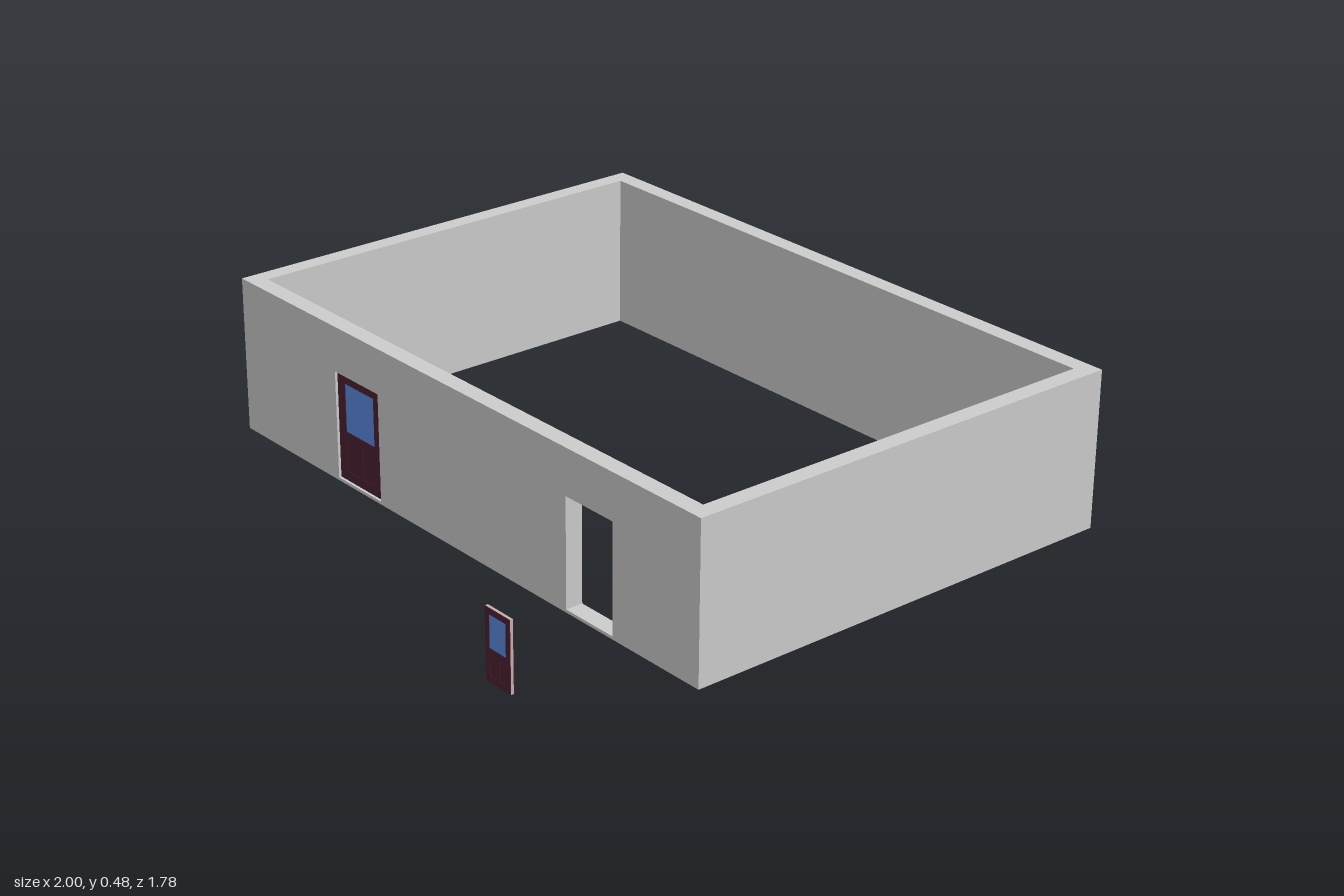
import * as THREE from 'three';

const paint = (color) => new THREE.MeshStandardMaterial({ color, flatShading: true });

function addBox(parent, name, mat, w, h, d, x, y, z) {
  const mesh = new THREE.Mesh(new THREE.BoxGeometry(w, h, d), mat);
  mesh.name = name;
  mesh.position.set(x, y, z);
  parent.add(mesh);
  return mesh;
}

// Rectangle outline from its left, bottom, right and top
function rect(l, b, r, t, Type = THREE.Path) {
  const p = new Type();
  p.moveTo(l, b).lineTo(r, b).lineTo(r, t).lineTo(l, t).closePath();
  return p;
}

// Rectangle with rectangular holes, extruded from z to z + depth
function addPanel(parent, name, mat, outline, holes, depth, z) {
  const shape = rect(...outline, THREE.Shape);
  shape.holes = holes.map((h) => rect(...h));
  const mesh = new THREE.Mesh(new THREE.ExtrudeGeometry(shape, { depth, bevelEnabled: false }), mat);
  mesh.name = name;
  mesh.position.z = z;
  parent.add(mesh);
}

// Door leaf standing on y = 0: pale core, dark facings, glazing above two panels
function makeDoor(name, w, h, d, mats) {
  const door = new THREE.Group();
  door.name = name;
  const skin = d * 0.15;
  const glass = [-0.33 * w, 0.465 * h, 0.33 * w, 0.915 * h];
  const panels = [-1, 1].map((s) => [(s * 0.185 - 0.14) * w, 0.09 * h, (s * 0.185 + 0.14) * w, 0.4 * h]);
  addBox(door, 'doorCore', mats.core, w, h, d - 2 * skin, 0, h / 2, 0);
  for (const z of [d / 2 - skin, -d / 2]) {
    addPanel(door, 'doorFacing', mats.wood, [-w / 2, 0, w / 2, h], [glass, ...panels], skin, z);
  }
  const inset = (part, mat, [l, b, r, t], depth) =>
    addBox(door, part, mat, r - l, t - b, depth, (l + r) / 2, (b + t) / 2, 0);
  inset('doorGlass', mats.glass, glass, d * 0.85);
  panels.forEach((p) => inset('doorPanel', mats.wood, p, d * 0.8));
  return door;
}

export function createModel() {
  const model = new THREE.Group();
  model.name = 'walledRoom';
  const grey = paint(0xcccccc);
  const mats = { core: paint(0xc4b0ae), wood: paint(0x4a2030), glass: paint(0x5b8ae0) };

  const bottom = 0.007, top = 0.476, height = top - bottom, midY = (top + bottom) / 2;
  const front = 0.52, back = -0.89, t = 0.053;

  // Walls
  const walls = new THREE.Group();
  walls.name = 'walls';
  model.add(walls);
  const openings = [[-0.543, 0.016, -0.34, 0.34], [0.48, 0.016, 0.668, 0.34]];
  addPanel(walls, 'frontWall', grey, [-1, bottom, 1, top], openings, t, front - t);
  addBox(walls, 'backWall', grey, 2, height, t, 0, midY, back + t / 2);
  for (const s of [-1, 1]) {
    addBox(walls, s > 0 ? 'leftWall' : 'rightWall', grey, t, height, front - back - 2 * t,
      s * (1 - t / 2), midY, (front + back) / 2);
  }

  // Door fitted in the front wall
  const fitted = makeDoor('fittedDoor', 0.203, 0.324, 0.014, mats);
  fitted.position.set(-0.4415, 0.016, 0.505);
  model.add(fitted);

  // Smaller loose door standing outside
  const loose = makeDoor('looseDoor', 0.1, 0.208, 0.012, mats);
  loose.position.set(0.67, 0, 0.88);
  model.add(loose);
  return model;
}
